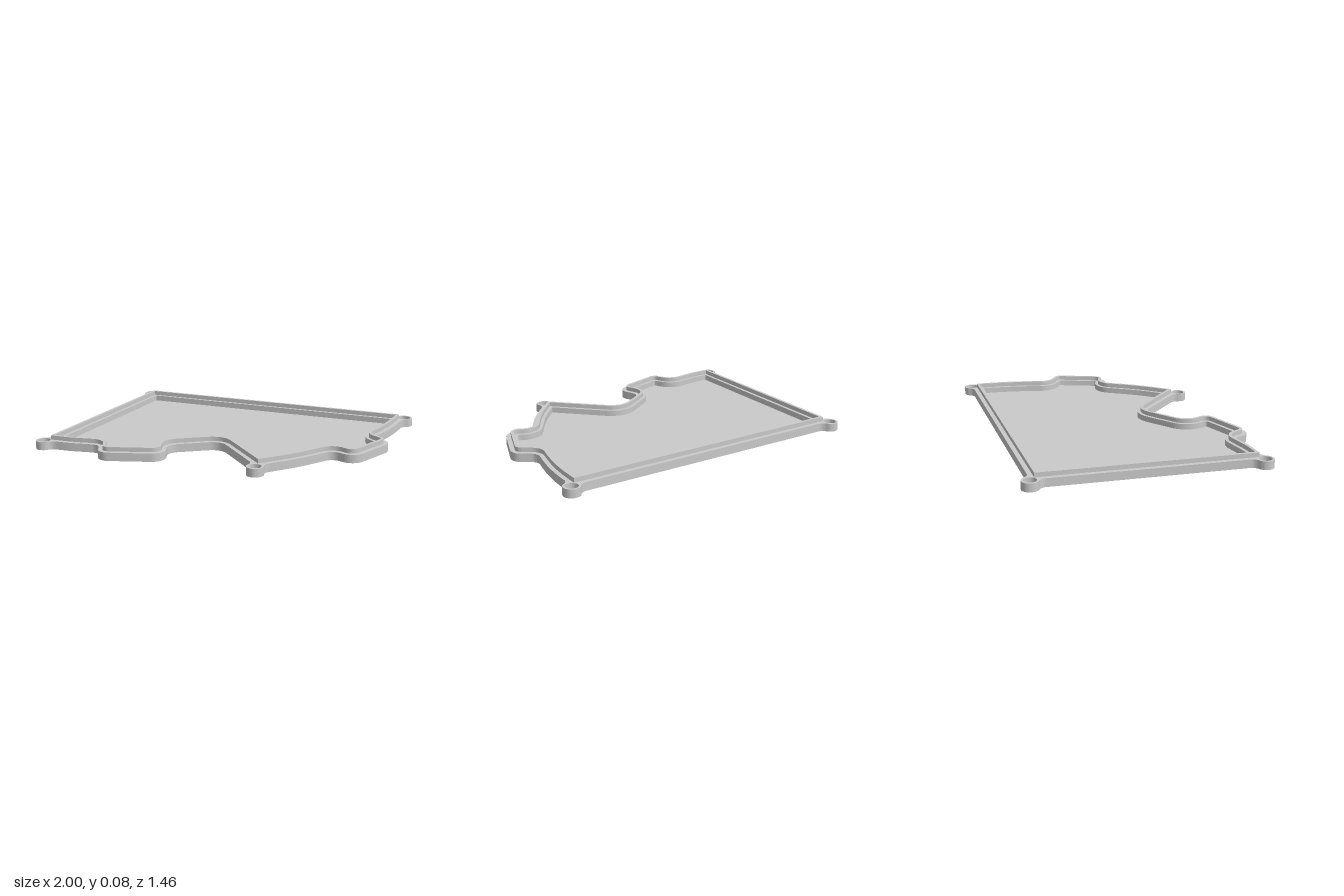
import * as THREE from 'three';
import { toCreasedNormals } from 'three/addons/utils/BufferGeometryUtils.js';

const BOSS_R = 0.05, POCKET_R = 0.037, FILLET = 0.05;
const FLOOR = 0.015, LEDGE = 0.05, TOP = 0.076;

// Outline corners: x, z, corner radius, and optional screw boss centre
const CORNERS = [
  { p: [-0.88, -0.675], r: 0, boss: [-0.883, -0.677] },
  { p: [0.945, -0.675], r: 0, boss: [0.948, -0.677] },
  { p: [0.94, -0.425], r: 1.5 },
  { p: [0.872, -0.165], r: 0.06 },
  { p: [0.998, -0.08], r: 0.07 },
  { p: [0.863, 0.275], r: 0.08 },
  { p: [0.722, 0.205], r: 0.06 },
  { p: [0.58, 0.43], r: 1.3 },
  { p: [0.402, 0.63], r: 0, boss: [0.402, 0.64] },
  { p: [0.05, 0.273], r: 0.09 },
  { p: [-0.22, 0.455], r: 0.075 },
  { p: [-0.152, 0.623], r: 0.08 },
  { p: [-0.53, 0.745], r: 0.07 },
  { p: [-0.59, 0.607], r: 0.06 },
  { p: [-0.78, 0.64], r: 0.7 },
  { p: [-0.945, 0.645], r: 0, boss: [-0.949, 0.64] },
].map((c) => ({ r: c.r, p: new THREE.Vector2(...c.p), boss: c.boss && new THREE.Vector2(...c.boss) }));

const add = (a, b, s = 1) => a.clone().addScaledVector(b, s);
const inward = (d) => new THREE.Vector2(-d.y, d.x);

// Arc points about a centre from one point to another, turning by sign
function arc(centre, from, to, sign) {
  const a0 = Math.atan2(from.y - centre.y, from.x - centre.x);
  const a1 = Math.atan2(to.y - centre.y, to.x - centre.x);
  const sweep = THREE.MathUtils.euclideanModulo((a1 - a0) * sign, Math.PI * 2);
  const r = centre.distanceTo(from), n = Math.max(4, Math.ceil(sweep / 0.16));
  return Array.from({ length: n + 1 }, (_, i) => {
    const a = a0 + (sign * sweep * i) / n;
    return new THREE.Vector2(centre.x + r * Math.cos(a), centre.y + r * Math.sin(a));
  });
}

// Fillet between a straight edge and a boss; dir points away from the corner
function bossFillet(c, corner, dir, n) {
  const h = -add(c, corner, -1).dot(n);
  const foot = add(c, n, h);
  const along = Math.sqrt((BOSS_R + FILLET) ** 2 - (FILLET - h) ** 2);
  const onEdge = add(foot, dir, along);
  const centre = add(onEdge, n, -FILLET);
  const onBoss = add(c, add(centre, c, -1).normalize(), BOSS_R);
  return { centre, onEdge, onBoss };
}

// Closed contour moved inward by d, with or without the bosses
function contour(d, withBosses = false) {
  const count = CORNERS.length;
  return CORNERS.flatMap((c, i) => {
    const d1 = add(c.p, CORNERS[(i + count - 1) % count].p, -1).normalize();
    const d2 = add(CORNERS[(i + 1) % count].p, c.p, -1).normalize();
    const n1 = inward(d1), n2 = inward(d2);
    if (withBosses && c.boss) {
      const a = bossFillet(c.boss, c.p, d1.clone().negate(), n1);
      const b = bossFillet(c.boss, c.p, d2, n2);
      return [
        ...arc(a.centre, a.onEdge, a.onBoss, -1),
        ...arc(c.boss, a.onBoss, b.onBoss, 1).slice(1, -1),
        ...arc(b.centre, b.onBoss, b.onEdge, -1),
      ];
    }
    const v = add(c.p, add(n1, n2), d / (1 + n1.dot(n2)));
    const sign = Math.sign(d1.cross(d2));
    const r = c.r === 0 ? 0 : Math.max(0, c.r - sign * d);
    if (r < 0.002) return [v];
    const t = r * Math.tan(Math.acos(THREE.MathUtils.clamp(d1.dot(d2), -1, 1)) / 2);
    const p1 = add(v, d1, -t), p2 = add(v, d2, t);
    return arc(add(p1, n1, sign * r), p1, p2, sign);
  });
}

const flip = (pts) => pts.map((p) => new THREE.Vector2(p.x, -p.y));

// Horizontal slab between two heights; holes wind against the outline
function slab(name, outer, holes, y0, y1, material) {
  const shape = new THREE.Shape(flip(outer));
  holes.forEach((h) => shape.holes.push(new THREE.Path(flip(h).reverse())));
  const geo = new THREE.ExtrudeGeometry(shape, { depth: y1 - y0, bevelEnabled: false });
  geo.rotateX(-Math.PI / 2).translate(0, y0, 0);
  const mesh = new THREE.Mesh(toCreasedNormals(geo, 0.5), material);
  mesh.name = name;
  return mesh;
}

export function createModel() {
  const grey = new THREE.MeshStandardMaterial({ color: 0xcacaca });
  grey.name = 'plain grey';

  const outline = contour(0, true);
  const pockets = CORNERS.filter((c) => c.boss).map(({ boss }) =>
    Array.from({ length: 40 }, (_, i) => {
      const a = (i / 40) * Math.PI * 2;
      return new THREE.Vector2(boss.x + POCKET_R * Math.cos(a), boss.y + POCKET_R * Math.sin(a));
    }));

  const model = new THREE.Group();
  model.name = 'caseTray';
  model.add(
    slab('floorPlate', outline, [], 0, FLOOR, grey),
    // Stepped wall with blind screw pockets in the bosses
    slab('sideWall', outline, [contour(0.065), ...pockets], FLOOR, LEDGE, grey),
    // Thin raised lip running around the wall
    slab('raisedLip', contour(0.027), [contour(0.045)], LEDGE, TOP, grey),
  );
  return model;
}
